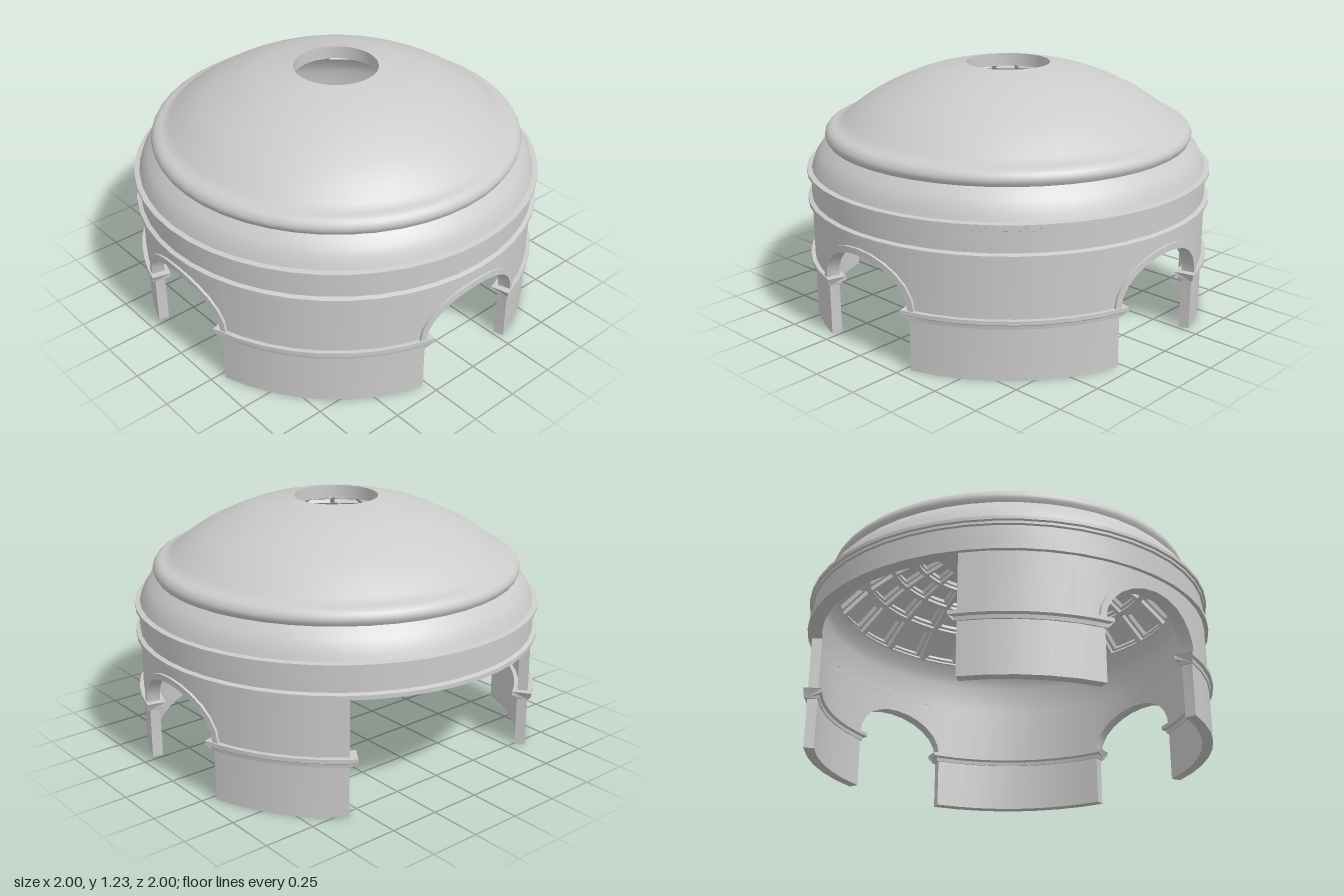
import * as THREE from 'three';
import { mergeGeometries, toCreasedNormals } from 'three/addons/utils/BufferGeometryUtils.js';

const material = new THREE.MeshStandardMaterial({ color: 0xcccccc });
const RAD = Math.PI / 180;
const R_OUT = 0.98, R_IN = 0.93;          // drum wall radii
const ARCH = 16.6 * RAD;                  // half angle of an arch
const SPRING = 0.29, RISE = 0.205;        // arch springing and rise
const BACK = 144 * RAD;                   // where the wall stops at the open back
const lerp = THREE.MathUtils.lerp;

// point on a cylinder, angle measured from +z towards +x
const polar = (r, a, y) => [r * Math.sin(a), y, r * Math.cos(a)];

// skin a row of closed loops, capping the ends
function loft(sections, startCap = true) {
  const n = sections[0].length, last = sections.length - 1, index = [];
  for (let i = 0; i < last; i++) {
    for (let j = 0; j < n; j++) {
      const k = (j + 1) % n, a = i * n, b = a + n;
      index.push(a + j, b + j, b + k, a + j, b + k, a + k);
    }
  }
  for (let j = 1; j < n - 1; j++) {
    if (startCap) index.push(0, j, j + 1);
    index.push(last * n, last * n + j + 1, last * n + j);
  }
  const geo = new THREE.BufferGeometry();
  geo.setAttribute('position', new THREE.Float32BufferAttribute(sections.flat(2), 3));
  geo.setIndex(index);
  return toCreasedNormals(geo, 28 * RAD);
}

function add(group, name, geo) {
  const mesh = new THREE.Mesh(geo, material);
  mesh.name = name;
  group.add(mesh);
  return mesh;
}

// drum wall: one strip whose lower edge follows the arches
function wallGeometry() {
  const edge = [];
  const pier = (from, to) => {
    const steps = Math.ceil((to - from) / (7.5 * RAD));
    for (let i = 0; i <= steps; i++) edge.push([lerp(from, to, i / steps), 0]);
  };
  let from = -BACK;
  for (const centre of [-90 * RAD, 0, 90 * RAD]) {
    pier(from, centre - ARCH);
    for (let i = 0; i <= 12; i++) {
      const t = Math.PI * (1 - i / 12);
      edge.push([centre + ARCH * Math.cos(t), SPRING + RISE * Math.sin(t)]);
    }
    from = centre + ARCH;
  }
  pier(from, BACK);
  return loft(edge.map(([a, y]) => [
    polar(R_IN, a, y), polar(R_OUT, a, y), polar(R_OUT, a, 0.58), polar(R_IN, a, 0.58),
  ]));
}

// raised band around an arch
function archBandGeometry() {
  const sections = [], wide = 0.03;
  for (let i = 0; i <= 12; i++) {
    const t = Math.PI * (1 - i / 12), c = Math.cos(t), s = Math.sin(t);
    const a = ARCH * c, y = SPRING + RISE * s;
    const a2 = (ARCH + wide / R_OUT) * c, y2 = SPRING + (RISE + wide) * s;
    sections.push([
      polar(0.965, a, y), polar(0.993, a, y), polar(0.993, a2, y2), polar(0.965, a2, y2),
    ]);
  }
  return loft(sections);
}

// moulding wrapped around a pier, running past its ends
function imposteGeometry(from, to) {
  const profile = [[0.006, 0.25], [0.009, 0.268], [0.021, 0.276], [0.021, 0.295]];
  const loop = [
    ...profile.map(([d, y]) => [R_OUT + d, y, d]),
    ...profile.map(([d, y]) => [R_IN - d, y, d]).reverse(),
  ];
  const sections = [], steps = 8;
  for (let i = 0; i <= steps; i++) {
    sections.push(loop.map(([r, y, d]) => {
      const past = 1.7 * d / R_OUT;
      return polar(r, lerp(from - past, to + past, i / steps), y);
    }));
  }
  return loft(sections);
}

// inner dome curve, one control point per coffer row boundary
const vault = new THREE.SplineCurve([
  [0.88, 0.82], [0.74, 0.95], [0.61, 1.035], [0.49, 1.09], [0.38, 1.13],
].map(p => new THREE.Vector2(...p)));

function vaultPoint(u, angle, depth) {
  const p = vault.getPoint(u), t = vault.getTangent(u);
  return polar(p.x + t.y * depth, angle, p.y - t.x * depth);
}

// stepped coffers in four rows of twenty-four
function cofferGeometry() {
  const rows = 4, columns = 24, step = 2 * Math.PI / columns;
  const levels = [[0, 0], [0.07, 0], [0.08, 0.02], [0.16, 0.02], [0.19, 0.04]];
  const cells = [];
  for (let row = 0; row < rows; row++) {
    for (let col = 0; col < columns; col++) {
      cells.push(loft(levels.map(([inset, depth]) => {
        const low = (row + inset) / rows, high = (row + 1 - inset) / rows;
        const half = step * (0.5 - inset), mid = col * step;
        return [
          ...[-half, 0, half].map(a => vaultPoint(low, mid + a, depth)),
          ...[half, 0, -half].map(a => vaultPoint(high, mid + a, depth)),
        ];
      }), false));
    }
  }
  return mergeGeometries(cells);
}

// dome shell: inner band, cornices, ridge, outer curve and the round eye
function shellGeometry() {
  const v = list => list.map(p => new THREE.Vector2(...p));
  const haunch = new THREE.SplineCurve(v([[0.975, 0.74], [0.945, 0.81], [0.893, 0.87]]));
  const ridge = new THREE.SplineCurve(v([[0.893, 0.87], [0.905, 0.9], [0.885, 0.935], [0.835, 0.953]]));
  const crown = new THREE.SplineCurve(v([[0.835, 0.953], [0.7, 1.052], [0.55, 1.13], [0.4, 1.187], [0.205, 1.23]]));
  const profile = [
    ...v([[0.88, 0.82], [0.91, 0.775], [0.93, 0.72], [0.93, 0.575],
      [1, 0.575], [1, 0.595], [0.98, 0.602], [0.98, 0.7],
      [0.99, 0.704], [0.99, 0.716], [1, 0.72], [1, 0.736], [0.975, 0.74]]),
    ...haunch.getPoints(5).slice(1),
    ...ridge.getPoints(9).slice(1),
    ...crown.getPoints(16).slice(1),
    ...v([[0.205, 1.165], [0.38, 1.13]]),
  ];
  return toCreasedNormals(new THREE.LatheGeometry(profile, 48), 28 * RAD);
}

export function createModel() {
  const model = new THREE.Group();
  model.name = 'domedRotunda';

  add(model, 'drumWall', wallGeometry());
  add(model, 'domeShell', shellGeometry());
  add(model, 'coffers', cofferGeometry());

  // arches at the front and both sides
  const band = archBandGeometry();
  for (const turn of [-90, 0, 90]) add(model, 'archBand', band).rotation.y = turn * RAD;

  // mouldings on the two front piers and the two shorter back piers
  const quarter = 90 * RAD;
  for (const [from, to] of [[ARCH, quarter - ARCH], [quarter + ARCH, BACK]]) {
    add(model, 'pierMoulding', imposteGeometry(from, to));
    add(model, 'pierMoulding', imposteGeometry(-to, -from));
  }
  return model;
}
